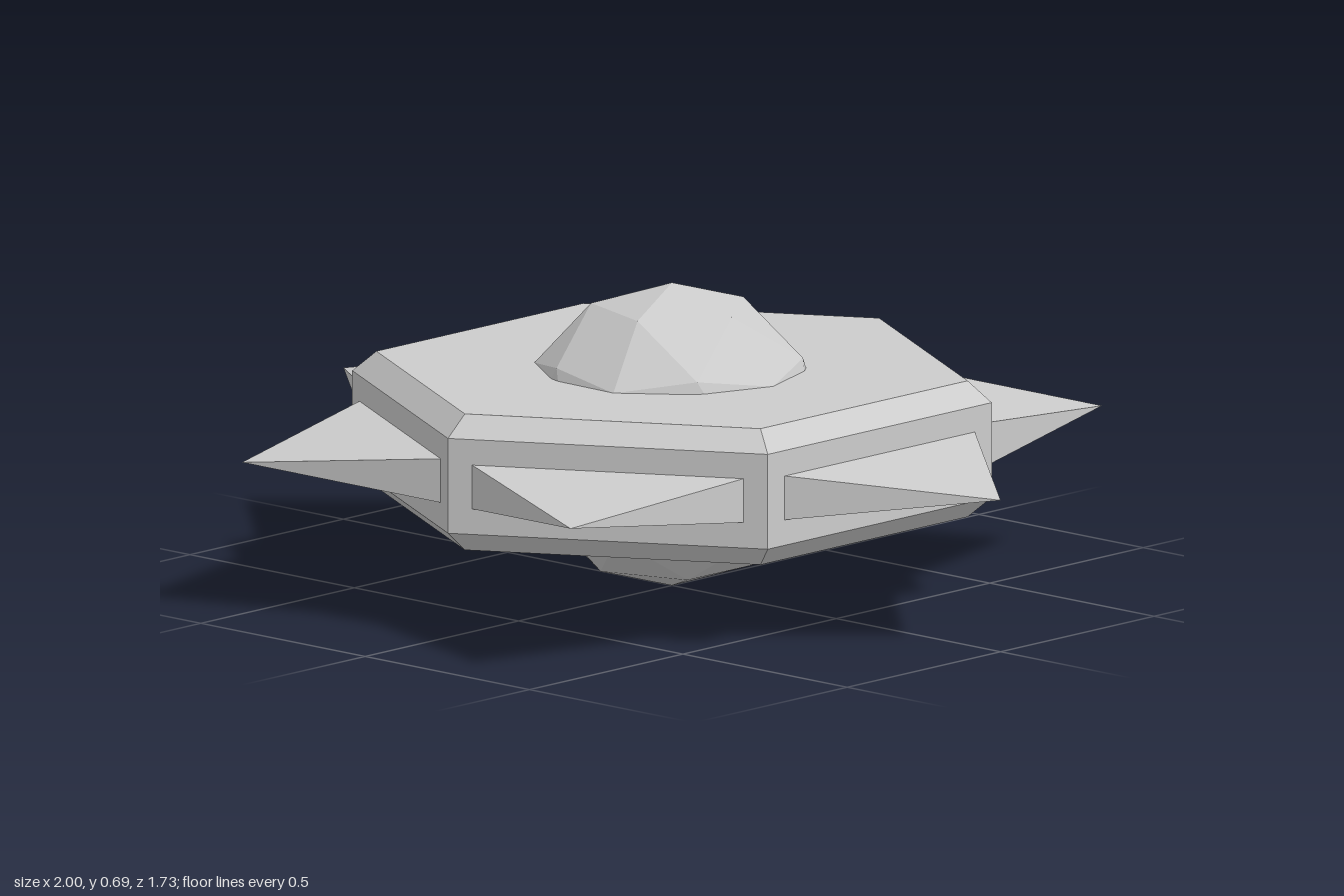
import * as THREE from 'three';

const MID_Y = 0.345;        // height of the symmetry plane
const FACE_DIST = 0.632;    // centre to each flat side of the hull
const SPIKE_TIP = 1.0;      // centre to each spike tip

export function createModel() {
  const group = new THREE.Group();
  const material = new THREE.MeshStandardMaterial({ color: 0xcccccc, flatShading: true });

  const add = (name, geometry) => {
    const mesh = new THREE.Mesh(geometry, material);
    mesh.name = name;
    group.add(mesh);
    return mesh;
  };

  // Hexagonal hull with bevelled rims, corners on the z axis
  const profile = [
    [0, -0.155], [0.675, -0.155], [0.73, -0.108],
    [0.73, 0.108], [0.675, 0.155], [0, 0.155],
  ].map(([r, y]) => new THREE.Vector2(r, MID_Y + y));
  add('hull', new THREE.LatheGeometry(profile, 6));

  // Faceted core, turned so that a vertex points straight up
  const core = new THREE.IcosahedronGeometry(MID_Y, 1);
  core.rotateZ(-Math.atan(2 / (1 + Math.sqrt(5))));
  core.translate(0, MID_Y, 0);
  add('core', core);

  // Flat four-sided spike pointing along +x, one for each side of the hull
  const length = SPIKE_TIP - FACE_DIST;
  const spike = new THREE.ConeGeometry(Math.SQRT2, length, 4);
  spike.rotateY(Math.PI / 4);
  spike.rotateZ(-Math.PI / 2);
  spike.scale(1, 0.05, 0.31);
  spike.translate(FACE_DIST + length / 2, MID_Y, 0);
  for (let i = 0; i < 6; i++) {
    add(`spike${i + 1}`, spike).rotation.y = (i * Math.PI) / 3;
  }

  return group;
}
